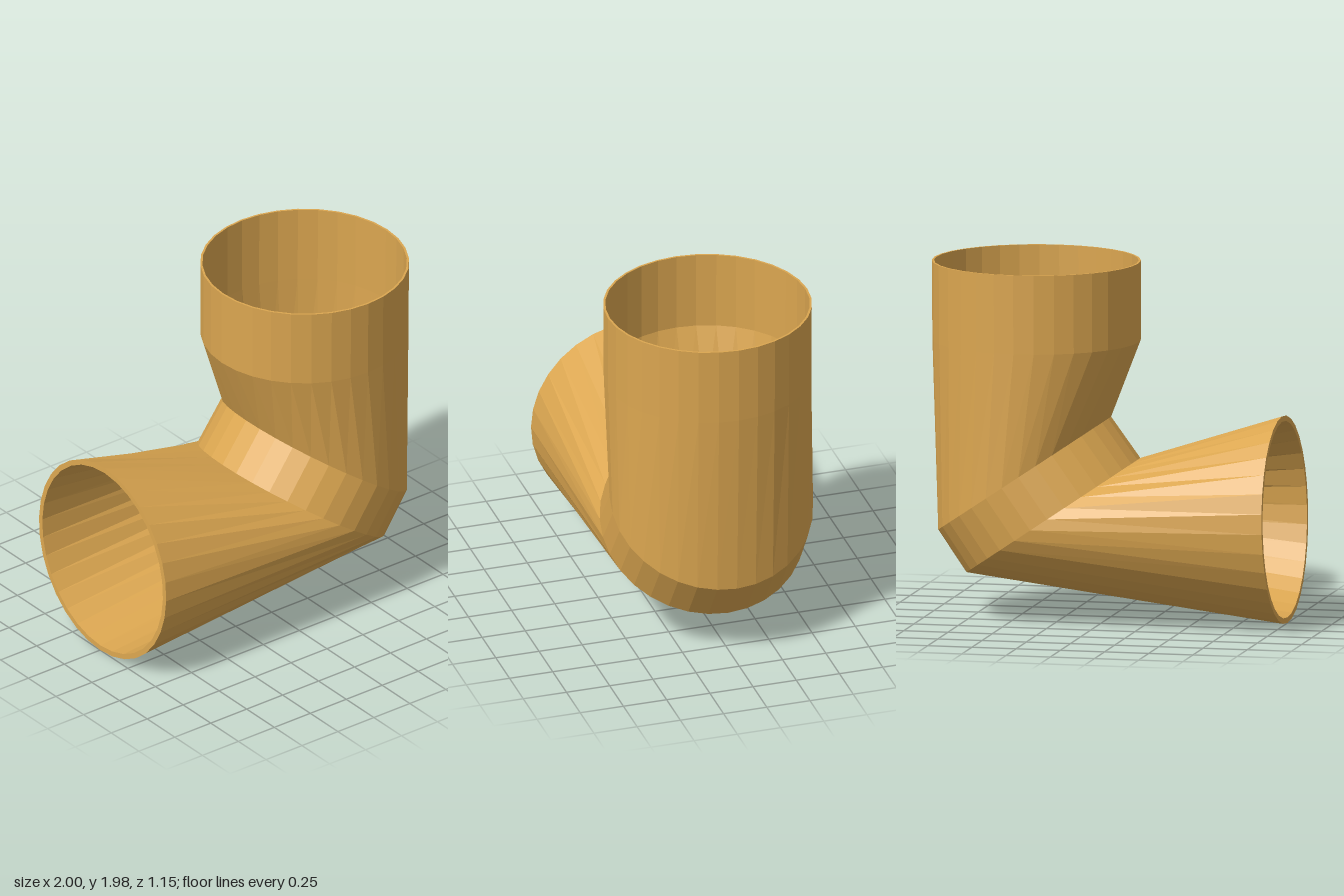
import * as THREE from 'three';

const SIDES = 32;

// Stations along the bend: inner-side [x, y], outer-side [x, y], wall thickness
const stations = [
  [-0.155, 1.98, 0.998, 1.98, 0.012],
  [-0.155, 1.54, 0.995, 1.54, 0.012],
  [0.015, 1.11, 0.96, 0.47, 0.015],
  [-0.15, 0.885, 0.80, 0.237, 0.015],
  [-0.967, 1.155, -1.0, 0.005, 0.03],
];

// Circular ring centred between the two side points, inset by the wall when asked
function ring([ax, ay, bx, by, wall], inside) {
  const centre = new THREE.Vector3((ax + bx) / 2, (ay + by) / 2, 0);
  const u = new THREE.Vector3(bx - ax, by - ay, 0);
  const r = u.length() / 2 - (inside ? wall : 0);
  u.normalize();
  return Array.from({ length: SIDES }, (_, i) => {
    const t = (i / SIDES) * Math.PI * 2;
    const p = centre.clone().addScaledVector(u, r * Math.cos(t));
    p.z = r * Math.sin(t);
    return p;
  });
}

// Joins consecutive rings with quads
function loft(rings) {
  const points = [];
  for (let s = 0; s < rings.length - 1; s++) {
    for (let i = 0; i < SIDES; i++) {
      const j = (i + 1) % SIDES;
      const a = rings[s][i], b = rings[s][j];
      const c = rings[s + 1][j], d = rings[s + 1][i];
      points.push(a, b, c, a, c, d);
    }
  }
  const geometry = new THREE.BufferGeometry().setFromPoints(points);
  geometry.computeVertexNormals();
  return geometry;
}

export function createModel() {
  const group = new THREE.Group();
  group.name = 'pipeElbow';
  const material = new THREE.MeshStandardMaterial({ color: 0xdba650, flatShading: true });

  const outer = stations.map((s) => ring(s, false));
  const inner = stations.map((s) => ring(s, true)).reverse();
  const last = outer.length - 1;

  const parts = {
    outerWall: outer,
    innerWall: inner,
    lowerRim: [outer[last], inner[0]],
    upperRim: [inner[last], outer[0]],
  };
  for (const [name, rings] of Object.entries(parts)) {
    const mesh = new THREE.Mesh(loft(rings), material);
    mesh.name = name;
    group.add(mesh);
  }
  return group;
}
